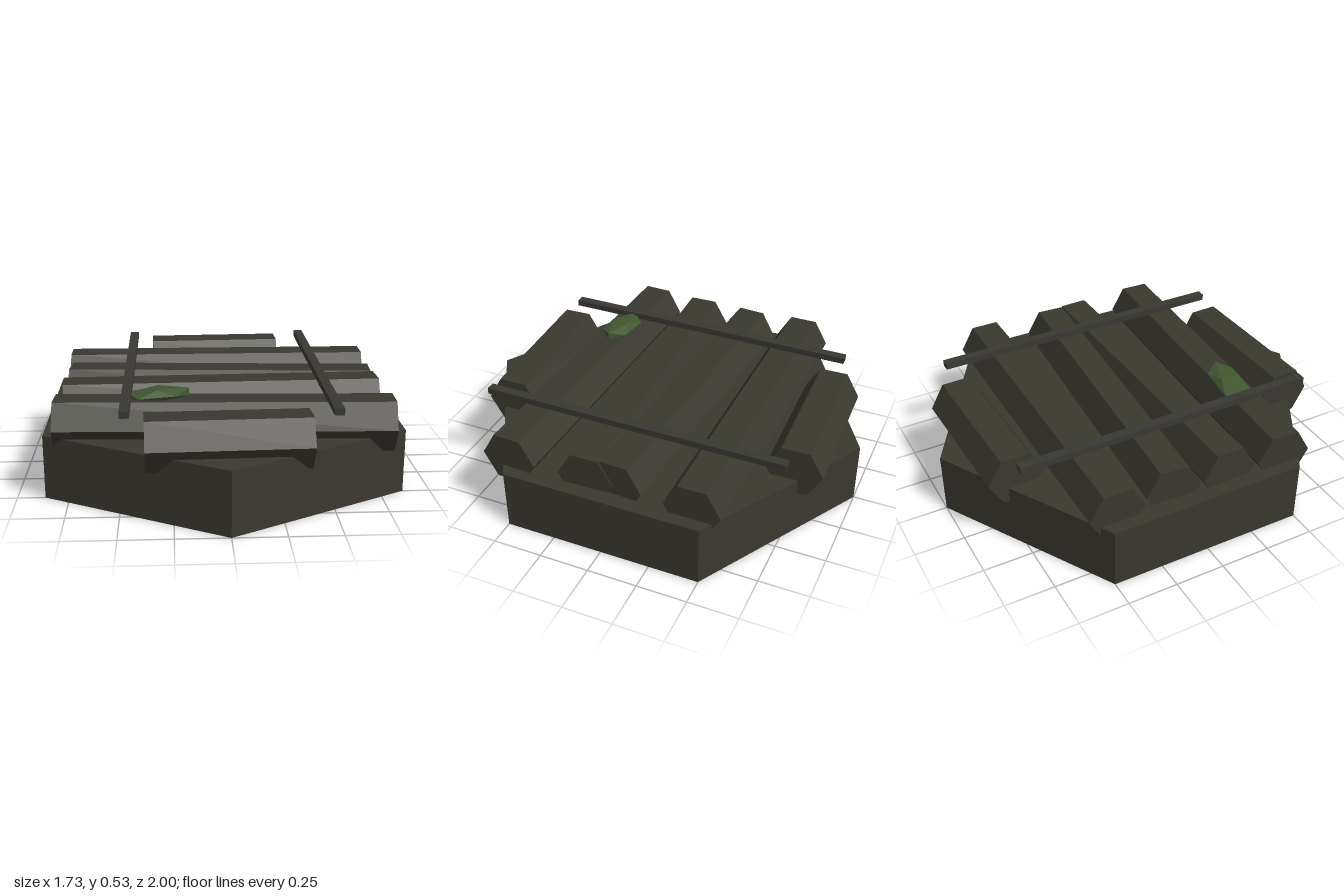
import * as THREE from 'three';

const flat = (name, color) => {
  const m = new THREE.MeshStandardMaterial({ color, flatShading: true });
  m.name = name;
  return m;
};

export function createModel() {
  const group = new THREE.Group();
  group.name = 'logTile';
  const wood = flat('dark wood', 0x3a382f);
  const rail = flat('rail grey', 0x393833);
  const green = flat('moss green', 0x3f5730);

  const add = (name, geometry, material, x, y, z) => {
    const mesh = new THREE.Mesh(geometry, material);
    mesh.name = name;
    mesh.position.set(x, y, z);
    group.add(mesh);
    return mesh;
  };

  // Hexagonal base with corners pointing front and back
  add('base', new THREE.CylinderGeometry(1, 1, 0.313, 6), wood, 0, 0.1565, 0);

  // Six-sided logs, each slightly skewed: [left x, left z, right x, right z]
  const logs = [
    [-0.38, 0.745, 0.38, 0.72],
    [-0.81, 0.44, 0.803, 0.503],
    [-0.792, 0.145, 0.792, 0.102],
    [-0.783, -0.15, 0.785, -0.045],
    [-0.803, -0.45, 0.803, -0.437],
    [-0.36, -0.75, 0.358, -0.772],
  ];
  logs.forEach(([x0, z0, x1, z1], i) => {
    const length = Math.hypot(x1 - x0, z1 - z0);
    const geometry = new THREE.CylinderGeometry(0.14, 0.14, length, 6);
    geometry.rotateZ(Math.PI / 2);
    const log = add(`log${i + 1}`, geometry, wood, (x0 + x1) / 2, 0.358, (z0 + z1) / 2);
    log.rotation.y = -Math.atan2(z1 - z0, x1 - x0);
  });

  // Thin rails laid across the logs
  for (const [name, x] of [['rightRail', -0.466], ['leftRail', 0.496]]) {
    add(name, new THREE.BoxGeometry(0.046, 0.032, 1.55), rail, x, 0.498, 0);
  }

  // Flattened tuft of moss
  const moss = new THREE.IcosahedronGeometry(1, 0);
  moss.rotateY(Math.PI / 2);
  moss.scale(0.174, 0.035, 0.085);
  add('moss', moss, green, -0.317, 0.495, 0.44).rotation.set(0, -0.06, 0.09);

  return group;
}
